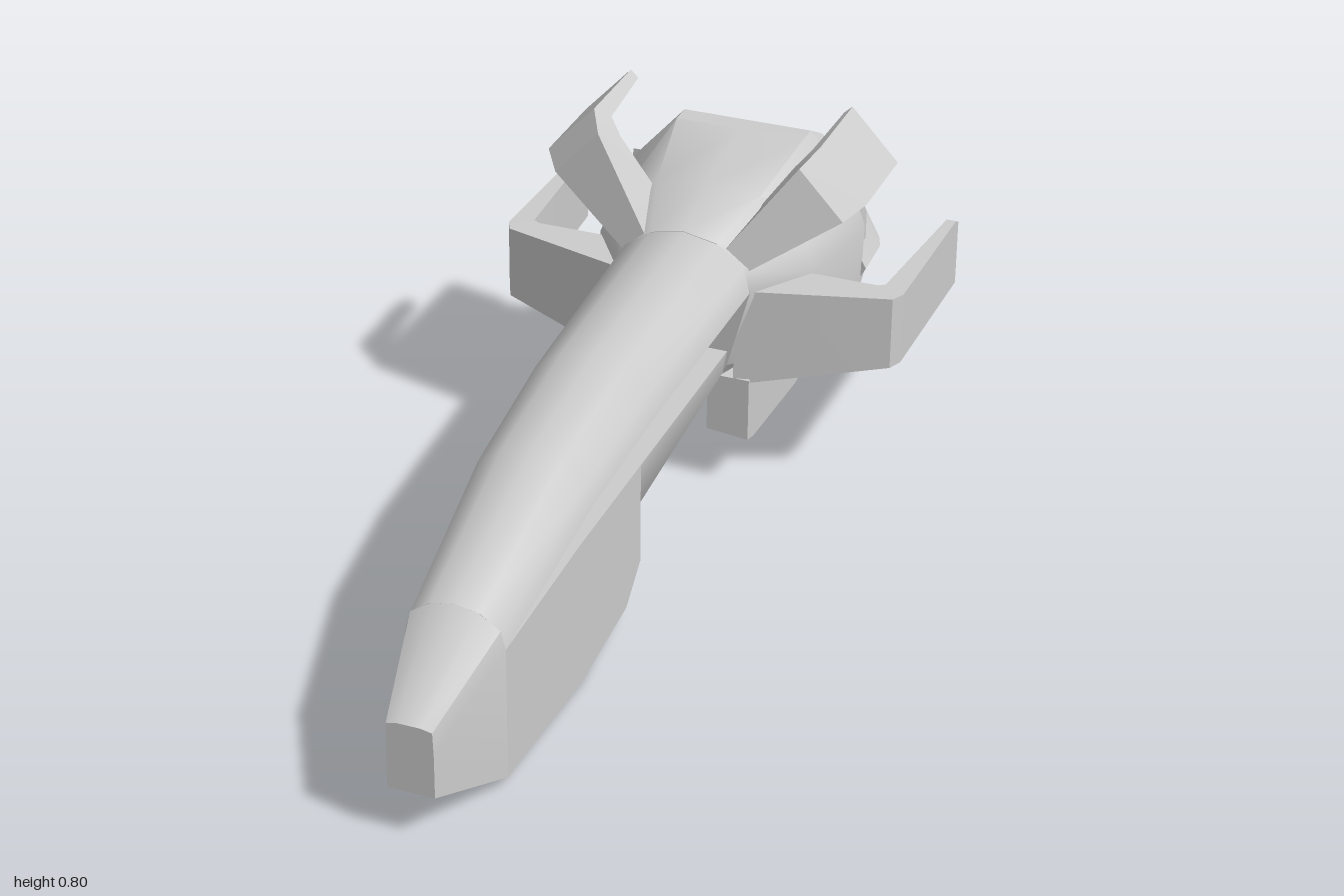
import * as THREE from 'three';
import { toCreasedNormals } from 'three/addons/utils/BufferGeometryUtils.js';

const material = new THREE.MeshStandardMaterial({ color: 0xcccccc });

// Skins a row of equal-length rings of [x, y, z], closes both ends, faces it outwards.
function loft(name, rings, crease = 0.6) {
  const n = rings[0].length;
  const points = rings.flat();
  const index = [];
  for (let i = 0; i < rings.length - 1; i++) {
    for (let j = 0; j < n; j++) {
      const a = i * n + j, b = i * n + (j + 1) % n;
      index.push(a, b, a + n, b, b + n, a + n);
    }
  }
  for (const [ring, start, flip] of [[rings[0], 0, true], [rings.at(-1), (rings.length - 1) * n, false]]) {
    const centre = points.length;
    points.push([0, 1, 2].map(k => ring.reduce((sum, p) => sum + p[k], 0) / n));
    for (let j = 0; j < n; j++) {
      const a = start + j, b = start + (j + 1) % n;
      index.push(...(flip ? [b, a, centre] : [a, b, centre]));
    }
  }
  const v = points.map(p => new THREE.Vector3(...p));
  let volume = 0;
  for (let i = 0; i < index.length; i += 3) {
    volume += v[index[i]].dot(v[index[i + 1]].clone().cross(v[index[i + 2]]));
  }
  if (volume < 0) index.reverse();
  const geometry = new THREE.BufferGeometry().setFromPoints(v);
  geometry.setIndex(index);
  const mesh = new THREE.Mesh(toCreasedNormals(geometry.toNonIndexed(), crease), material);
  mesh.name = name;
  return mesh;
}

// Full ring from a half outline that runs from the bottom centre to the top centre.
const symmetric = (half, z) => [
  ...half.map(([x, y]) => [x, y, z]),
  ...half.slice(1, -1).reverse().map(([x, y]) => [-x, y, z]),
];
const box = (w, bottom, top, z) => [[-w, bottom, z], [w, bottom, z], [w, top, z], [-w, top, z]];

export function createModel() {
  const model = new THREE.Group();
  model.name = 'spaceship';
  const addPair = (name, rings, crease) => {
    model.add(loft('left' + name, rings, crease));
    model.add(loft('right' + name, rings.map(r => r.map(([x, y, z]) => [-x, y, z])), crease));
  };

  // Nose, where the upper and lower hulls meet
  model.add(loft('nose', [
    symmetric([[0, 0.105], [0.05, 0.105], [0.05, 0.2], [0.048, 0.255], [0.025, 0.26], [0, 0.26]], 1),
    symmetric([[0, 0.02], [0.105, 0.02], [0.105, 0.32], [0.095, 0.36], [0.05, 0.39], [0, 0.4]], 0.78),
  ]));

  // Arched upper hull with a flat underside, open gap below it
  const arch = [[0.78, 0.105, 0.32, 0.4], [0.4, 0.13, 0.43, 0.53], [0.07, 0.143, 0.47, 0.58], [-0.47, 0.155, 0.49, 0.61]];
  model.add(loft('upperHull', arch.map(([z, w, edge, top]) => {
    const h = top - edge;
    return symmetric([[0, edge], [w, edge], [w * 0.9, edge + h * 0.48], [w * 0.5, edge + h * 0.87], [0, top]], z);
  }), 0.75));

  // Deep lower hull and the slim neck behind it
  model.add(loft('lowerHull', [
    box(0.105, 0.02, 0.32, 0.78), box(0.105, 0, 0.335, 0.4),
    box(0.105, 0.03, 0.335, 0.15), box(0.105, 0.1, 0.335, 0.07),
  ], 0.2));
  model.add(loft('lowerNeck', [[0.08, 0.17], [-0.47, 0.225]].map(([z, y]) =>
    symmetric([[0, y], [0.055, y + 0.012], [0.095, y + 0.055], [0.105, 0.335], [0, 0.335]], z)), 0.75));

  // Flared rear body
  model.add(loft('rearBody', [
    symmetric([[0, 0.225], [0.07, 0.24], [0.105, 0.3], [0.155, 0.49], [0.14, 0.54], [0.075, 0.595], [0, 0.61]], -0.45),
    symmetric([[0, 0.24], [0.13, 0.25], [0.24, 0.3], [0.255, 0.49], [0.225, 0.56], [0.12, 0.645], [0, 0.655]], -0.6),
    symmetric([[0, 0.26], [0.15, 0.265], [0.28, 0.3], [0.29, 0.49], [0.26, 0.58], [0.15, 0.7], [0, 0.7]], -0.8),
    symmetric([[0, 0.27], [0.15, 0.275], [0.28, 0.3], [0.285, 0.49], [0.25, 0.58], [0.15, 0.7], [0, 0.7]], -0.85),
  ], 0.7));

  // Sloping tail block between the engines, and the notched hood above
  model.add(loft('tailBlock', [
    symmetric([[0, 0.28], [0.2, 0.29], [0.28, 0.33], [0.27, 0.585], [0, 0.585]], -0.84),
    symmetric([[0, 0.3], [0.2, 0.31], [0.27, 0.34], [0.27, 0.49], [0, 0.49]], -0.91),
  ], 0.3));
  addPair('Hood', [
    [[0.05, 0.58, -0.845], [0.25, 0.58, -0.845], [0.15, 0.7, -0.85], [0.05, 0.7, -0.85]],
    [[0.09, 0.605, -0.905], [0.215, 0.605, -0.905], [0.16, 0.67, -0.905], [0.09, 0.67, -0.905]],
  ], 0.2);

  // Hexagonal engines with hollow outlets
  const hex = (w, h, z) => [[-1, 0], [-0.55, -1], [0.55, -1], [1, 0], [0.55, 1], [-0.55, 1]]
    .map(([a, b]) => [0.185 + a * w, 0.385 + b * h, z]);
  addPair('Engine', [hex(0.11, 0.09, -0.84), hex(0.105, 0.085, -0.96), hex(0.09, 0.078, -1), hex(0.068, 0.058, -1), hex(0.045, 0.04, -0.92)], 0.3);

  // Pods below the rear body
  const pod = [[-0.45, 0.12, 0.27], [-0.49, 0.11, 0.27], [-0.78, 0.093, 0.28], [-0.87, 0.12, 0.25]];
  addPair('Pod', pod.map(([z, bottom, top]) => [
    [0.06, bottom + 0.01, z], [0.157, bottom, z], [0.157, top, z], [0.06, top, z],
  ]), 0.2);

  // Side fins: swept forward panel turning into a long trailing blade
  const sideFin = [
    [0.12, -0.45, 0.12, -0.59, 0.255, 0.488], [0.16, -0.46, 0.16, -0.59, 0.262, 0.488],
    [0.45, -0.54, 0.4, -0.59, 0.318, 0.488], [0.465, -0.57, 0.415, -0.6, 0.32, 0.488],
    [0.463, -0.97, 0.441, -0.97, 0.31, 0.476], [0.463, -0.99, 0.443, -0.99, 0.31, 0.465],
  ];
  addPair('SideFin', sideFin.map(([xo, zo, xi, zi, bottom, top]) => [
    [xo, bottom, zo], [xo, top, zo], [xi, top, zi], [xi, bottom, zi],
  ]), 0.2);

  // Upper fins: the same form tilted into a V; r runs outwards, w is the half width
  const tilt = (r, w, z) => [0.115 + r * 0.73 - w * 0.68, 0.555 + r * 0.68 + w * 0.73, z];
  const upperFin = [
    [-0.02, -0.45, -0.02, -0.6, 0.03], [0.23, -0.53, 0.19, -0.59, 0.075],
    [0.275, -0.58, 0.235, -0.61, 0.08], [0.275, -0.8, 0.25, -0.8, 0.08],
  ];
  addPair('UpperFin', upperFin.map(([ro, zo, ri, zi, w]) => [
    tilt(ro, -w, zo), tilt(ro, w, zo), tilt(ri, w, zi), tilt(ri, -w, zi),
  ]), 0.2);

  return model;
}
